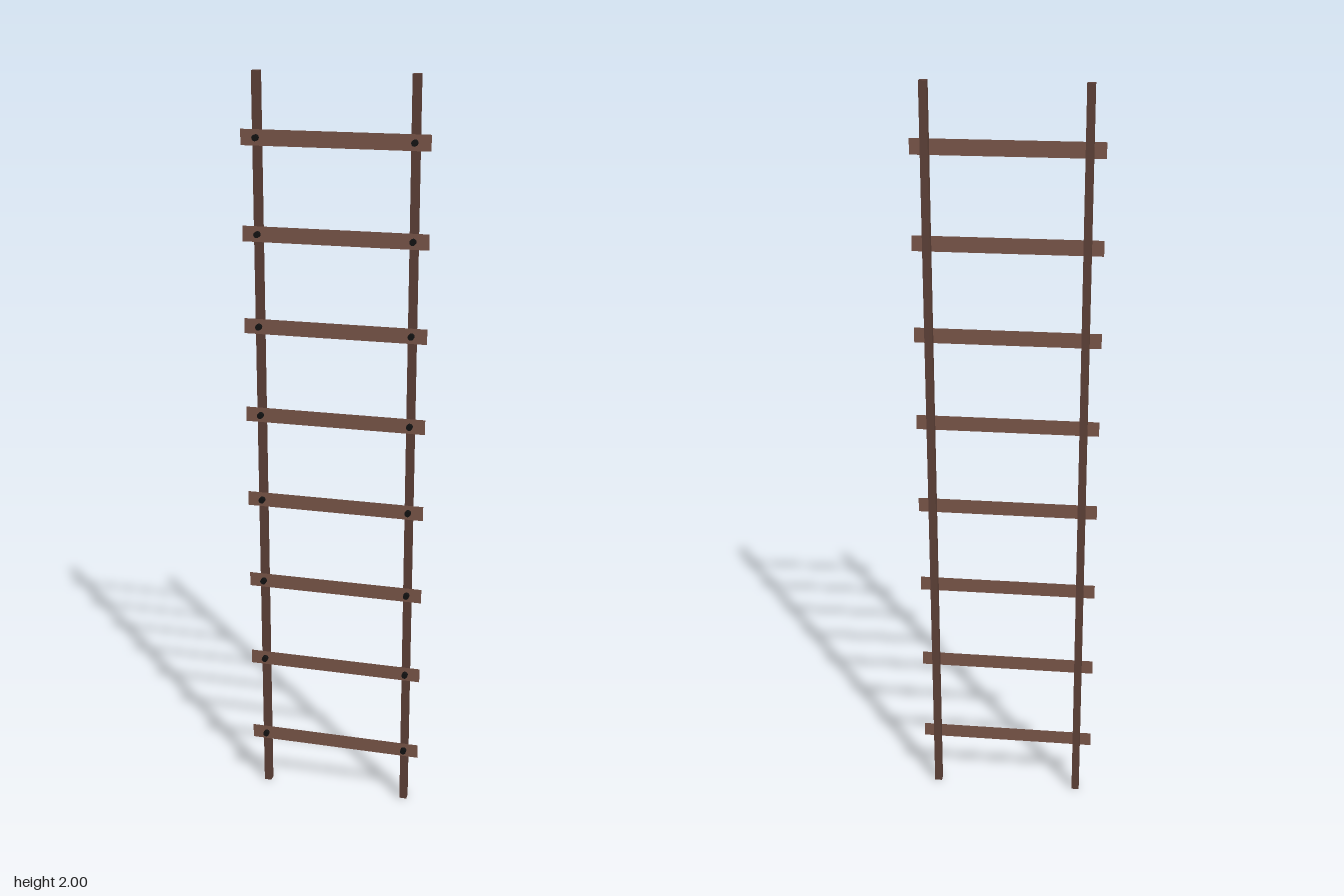
import * as THREE from 'three';

export function createModel() {
  const ladder = new THREE.Group();
  ladder.name = 'ladder';

  const railMat = new THREE.MeshStandardMaterial({ color: 0x5d4037 });
  const rungMat = new THREE.MeshStandardMaterial({ color: 0x795548, side: THREE.DoubleSide });
  const boltMat = new THREE.MeshStandardMaterial({ color: 0x111111 });

  const add = (name, geometry, material, x, y, z) => {
    const mesh = new THREE.Mesh(geometry, material);
    mesh.name = name;
    mesh.position.set(x, y, z);
    ladder.add(mesh);
  };

  // Two square side rails
  const railGeo = new THREE.BoxGeometry(0.02, 2, 0.02);
  add('leftRail', railGeo, railMat, 0.2, 1, -0.008);
  add('rightRail', railGeo, railMat, -0.2, 1, -0.008);

  // Thin flat rungs on the front of the rails, bolted at both ends
  const rungGeo = new THREE.PlaneGeometry(0.48, 0.04);
  const boltGeo = new THREE.CylinderGeometry(0.008, 0.008, 0.016, 16).rotateX(Math.PI / 2);
  for (let i = 0; i < 8; i++) {
    const y = 0.16 + i * 0.24;
    add('rung' + (i + 1), rungGeo, rungMat, 0, y, 0.004);
    add('leftBolt' + (i + 1), boltGeo, boltMat, 0.2, y, 0.008);
    add('rightBolt' + (i + 1), boltGeo, boltMat, -0.2, y, 0.008);
  }

  return ladder;
}
